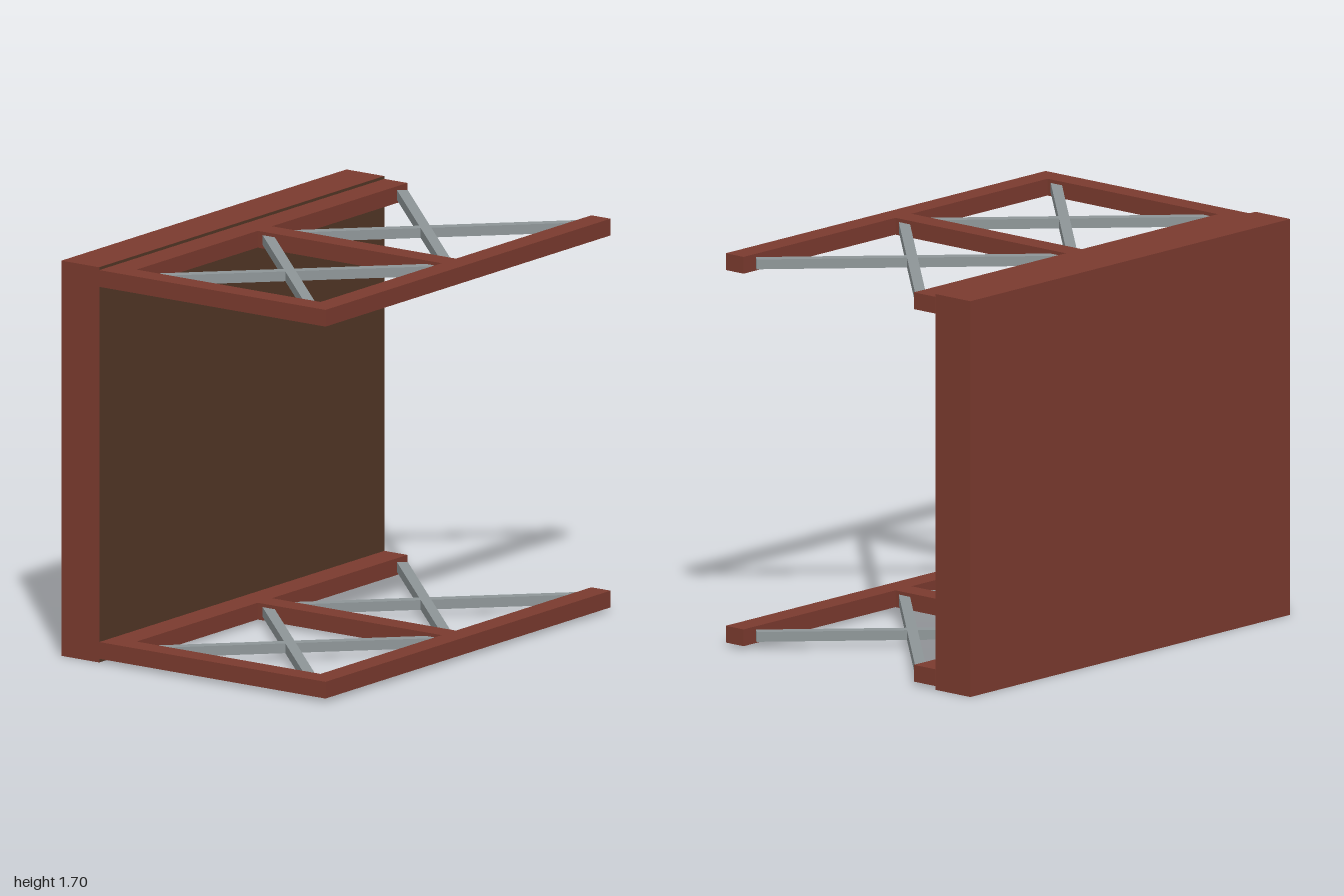
import * as THREE from 'three';

const red = new THREE.MeshStandardMaterial({ color: 0x7a3a2e });
const brown = new THREE.MeshStandardMaterial({ color: 0x523626 });
const steel = new THREE.MeshStandardMaterial({ color: 0x8d9597 });

// Box given by its extents along x, y and z
function box(name, material, [x0, x1], [y0, y1], [z0, z1]) {
  const mesh = new THREE.Mesh(new THREE.BoxGeometry(x1 - x0, y1 - y0, z1 - z0), material);
  mesh.position.set((x0 + x1) / 2, (y0 + y1) / 2, (z0 + z1) / 2);
  mesh.name = name;
  return mesh;
}

// Horizontal frame with two cross-braced bays, open on its left end
function createFrame(name) {
  const frame = new THREE.Group();
  frame.name = name;
  const h = [-0.036, 0.036];
  frame.add(
    box('backRail', red, [-1, 1], h, [-0.49, -0.37]),
    box('frontRail', red, [-1, 1], h, [0.587, 0.687]),
    box('endBeam', red, [-1, -0.9], h, [-0.37, 0.587]),
    box('middleBeam', red, [-0.05, 0.05], h, [-0.37, 0.587])
  );
  // Diagonal braces crossing in each bay
  for (const x of [-0.475, 0.475]) {
    for (const side of [-1, 1]) {
      const brace = new THREE.Mesh(new THREE.BoxGeometry(1.305, 0.042, 0.045), steel);
      brace.position.set(x, 0, 0.112);
      brace.rotation.y = side * Math.PI / 4;
      brace.name = 'crossBrace';
      frame.add(brace);
    }
  }
  return frame;
}

export function createModel() {
  const model = new THREE.Group();
  model.name = 'bracedWallSection';

  // Wall slab with a darker inner face
  model.add(box('wall', red, [-1, 1], [0, 1.7], [-0.687, -0.492]));
  const face = new THREE.Mesh(new THREE.PlaneGeometry(2, 1.7), brown);
  face.position.set(0, 0.85, -0.49);
  face.name = 'innerWallFace';
  model.add(face);

  // Lower and upper frames
  for (const [name, y] of [['lowerFrame', 0.052], ['upperFrame', 1.652]]) {
    const frame = createFrame(name);
    frame.position.y = y;
    model.add(frame);
  }
  return model;
}
